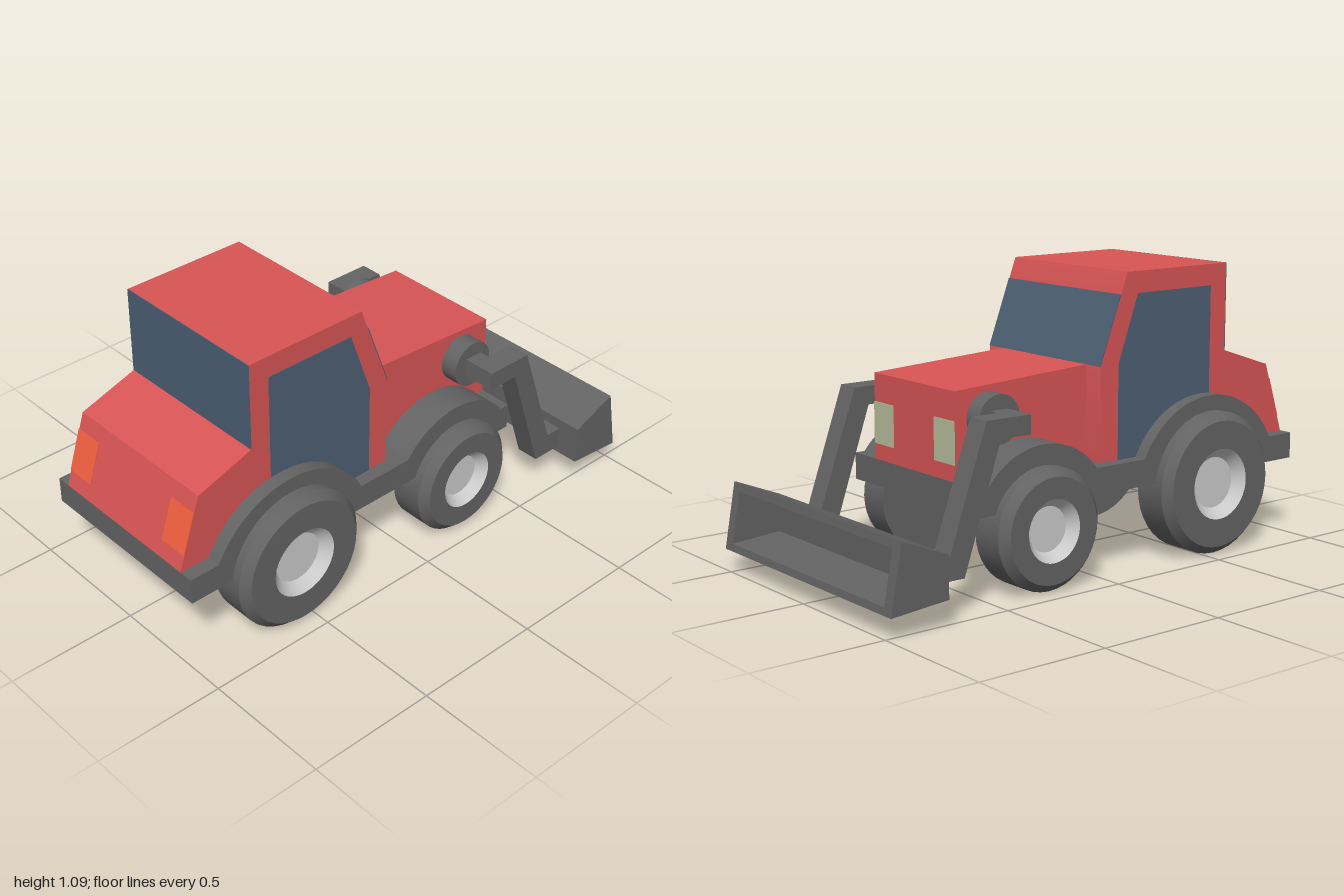
import * as THREE from 'three';
import { toCreasedNormals } from 'three/addons/utils/BufferGeometryUtils.js';

const mat = (color) => new THREE.MeshStandardMaterial({ color });

export function createModel() {
  const model = new THREE.Group();
  const red = mat(0xd95555), glass = mat(0x4d6074), dark = mat(0x646464);
  const light = mat(0xcccccc), amber = mat(0xf46040), cream = mat(0xb9be9e);

  const add = (name, geometry, material, parent = model) => {
    const mesh = new THREE.Mesh(geometry, material);
    mesh.name = name;
    parent.add(mesh);
    return mesh;
  };

  // Side profile in (z, y), extruded across x from x0 to x1
  const slab = (name, profile, x0, x1, material) => {
    const shape = profile instanceof THREE.Shape
      ? profile : new THREE.Shape(profile.map(([z, y]) => new THREE.Vector2(z, y)));
    const g = new THREE.ExtrudeGeometry(shape, { depth: x1 - x0, bevelEnabled: false, curveSegments: 24 });
    g.rotateY(-Math.PI / 2).translate(x1, 0, 0);
    add(name, toCreasedNormals(g, 0.5), material);
  };
  // The same slab on both sides
  const pair = (name, profile, x0, x1, material) => {
    slab(name + 'Left', profile, x0, x1, material);
    slab(name + 'Right', profile, -x1, -x0, material);
  };
  // Thin strip lying on a profile edge from a to b
  const strip = (a, b, nz, ny) => [a, b, [b[0] + nz, b[1] + ny], [a[0] + nz, a[1] + ny]];

  // Chassis plate with two rounded fenders
  const chassis = new THREE.Shape();
  const fender = (cz, half, rise) => {
    const r = (half * half + rise * rise) / (2 * rise);
    const a = Math.asin(half / r);
    chassis.absarc(cz, 0.405 + rise - r, r, Math.PI / 2 - a, Math.PI / 2 + a, false);
  };
  chassis.moveTo(-0.53, 0.305);
  chassis.lineTo(1, 0.305);
  chassis.lineTo(1, 0.405);
  fender(0.555, 0.325, 0.2);
  fender(-0.245, 0.245, 0.12);
  chassis.lineTo(-0.53, 0.405);
  slab('chassis', chassis, -0.38, 0.38, dark);

  // Cab and hood
  slab('cab', [[1, 0.405], [0.91, 0.68], [0.68, 0.757], [0.68, 1.09], [0.185, 1.09],
    [0.06, 0.757], [0.06, 0.405]], -0.325, 0.325, red);
  slab('hood', [[0.07, 0.405], [0.07, 0.757], [-0.53, 0.725], [-0.53, 0.405]], -0.245, 0.245, red);

  // Windows
  slab('rearWindow', strip([0.68, 0.757], [0.68, 1.09], 0.003, 0), -0.325, 0.325, glass);
  slab('windscreen', strip([0.06, 0.757], [0.155, 1.01], -0.003, 0.001), -0.325, 0.325, glass);
  pair('sideWindow', [[0.6, 0.405], [0.6, 1.01], [0.235, 1.01], [0.145, 0.76], [0.145, 0.405]],
    0.325, 0.328, glass);

  // Lamps
  pair('tailLamp', strip([0.98, 0.465], [0.93, 0.62], 0.003, 0.001), 0.205, 0.325, amber);
  pair('headLamp', strip([-0.53, 0.465], [-0.53, 0.62], -0.003, 0), 0.125, 0.245, cream);

  // Wheels: tyre and recessed hub
  const lathe = (points) => toCreasedNormals(
    new THREE.LatheGeometry(points.map(([r, x]) => new THREE.Vector2(r, x)), 40).rotateZ(-Math.PI / 2), 0.5);
  for (const [name, z, r, hub] of [['rearWheel', 0.555, 0.272, 0.135], ['frontWheel', -0.25, 0.224, 0.115]]) {
    const tyre = lathe([[0, -0.08], [r, -0.08], [r, 0.048], [r - 0.03, 0.08], [hub, 0.08]]);
    const rim = lathe([[hub, 0.08], [hub * 0.72, 0.04], [0, 0.04]]);
    for (const side of [1, -1]) {
      const wheel = new THREE.Group();
      wheel.name = name + (side > 0 ? 'Left' : 'Right');
      add('tyre', tyre, dark, wheel);
      add('hub', rim, light, wheel);
      wheel.position.set(side * 0.365, r + 0.003, z);
      if (side < 0) wheel.rotation.y = Math.PI;
      model.add(wheel);
    }
  }

  // Lift pivots, links and bent arms
  const drum = new THREE.CylinderGeometry(0.09, 0.09, 0.075, 32).rotateZ(Math.PI / 2);
  const link = new THREE.BoxGeometry(0.1, 0.07, 0.075);
  for (const side of [1, -1]) {
    add('liftPivot', drum, dark).position.set(side * 0.2775, 0.62, -0.39);
    add('liftLink', link, dark).position.set(side * 0.31, 0.62, -0.3925);
  }
  pair('liftArm', [[-0.355, 0.655], [-0.545, 0.655], [-0.7, 0.215], [-0.78, 0.215],
    [-0.78, 0.13], [-0.64, 0.13], [-0.485, 0.585], [-0.355, 0.585]], 0.355, 0.445, dark);

  // Bucket: hollow trough closed by two end plates
  slab('bucketTrough', [[-0.77, 0.255], [-0.955, 0.33], [-0.96, 0.3], [-0.8, 0.235],
    [-0.8, 0.125], [-0.995, 0.11], [-1, 0.083], [-0.77, 0.102]], -0.49, 0.49, dark);
  pair('bucketEnd', [[-0.77, 0.255], [-0.955, 0.33], [-1, 0.083], [-0.77, 0.102]], 0.49, 0.535, dark);

  return model;
}
